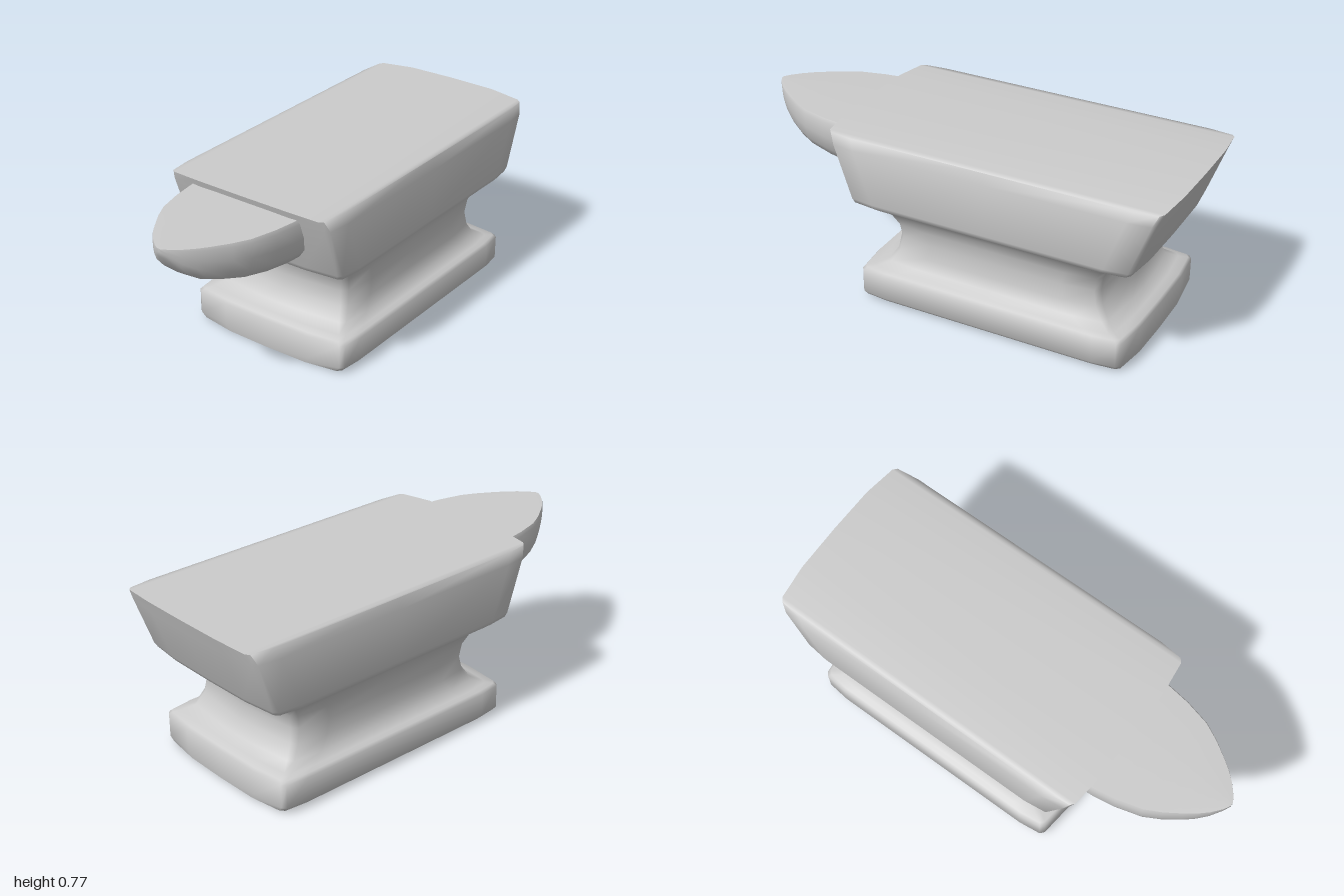
import * as THREE from 'three';
import { toCreasedNormals } from 'three/addons/utils/BufferGeometryUtils.js';

const material = new THREE.MeshStandardMaterial({ color: 0xcccccc });

// Triangles joining consecutive closed rings of equal length
function loftIndex(ringCount, n) {
  const index = [];
  for (let r = 0; r < ringCount - 1; r++) {
    for (let i = 0; i < n; i++) {
      const a = r * n + i, b = r * n + ((i + 1) % n);
      index.push(a, a + n, b, b, a + n, b + n);
    }
  }
  return index;
}

function makeMesh(name, rings, index, crease) {
  const geometry = new THREE.BufferGeometry();
  geometry.setAttribute('position', new THREE.Float32BufferAttribute(rings.flat(2), 3));
  geometry.setIndex(index);
  const mesh = new THREE.Mesh(toCreasedNormals(geometry, crease), material);
  mesh.name = name;
  return mesh;
}

// Softly bevelled rectangle at height y; crown bends it in y towards the long sides
function bodyRing([y, x0, x1, hz, s = 1, crown = 0]) {
  const cx = (x0 + x1) / 2, hx = (x1 - x0) / 2;
  const q = [
    [hx, 0], [hx - 0.003 * s, hz - 0.18 * s], [hx - 0.02 * s, hz - 0.03 * s],
    [hx - 0.035 * s, hz - 0.012 * s], [hx - 0.135 * s, hz], [0, hz],
  ];
  const put = (i, sx, sz) =>
    [cx + sx * q[i][0], y + crown * (q[i][1] / hz) ** 4, sz * q[i][1]];
  return [
    ...[0, 1, 2, 3, 4, 5].map((i) => put(i, 1, 1)),
    ...[4, 3, 2, 1, 0].map((i) => put(i, -1, 1)),
    ...[1, 2, 3, 4, 5].map((i) => put(i, -1, -1)),
    ...[4, 3, 2, 1].map((i) => put(i, 1, -1)),
  ];
}

// Lengthwise strips closing a body ring, facing down or up
function capIndex(base, up) {
  const index = [];
  const quad = (a, b, c, d, flip) =>
    flip ? index.push(base + a, base + c, base + b, base + a, base + d, base + c)
      : index.push(base + a, base + b, base + c, base + a, base + c, base + d);
  for (let i = 0; i < 5; i++) {
    quad(i, i + 1, 9 - i, 10 - i, up);
    quad((20 - i) % 20, 19 - i, 11 + i, 10 + i, !up);
  }
  return index;
}

// Foot, waist and face block in one continuous skin
function createBody() {
  // height, left end, right end, half depth, corner scale, crown
  const sections = [
    [0.003, -0.385, 0.85, 0.382, 1, 0.010],
    [0.033, -0.39, 0.855, 0.40],
    [0.138, -0.39, 0.855, 0.40],
    [0.150, -0.38, 0.845, 0.388],
    [0.157, -0.345, 0.81, 0.368, 1.1],
    [0.180, -0.30, 0.77, 0.337, 1.25],
    [0.235, -0.268, 0.738, 0.321, 1.35],
    [0.300, -0.257, 0.727, 0.315, 1.4],
    [0.360, -0.265, 0.735, 0.321, 1.35],
    [0.405, -0.288, 0.757, 0.337, 1.25],
    [0.437, -0.335, 0.80, 0.362, 1.1],
    [0.452, -0.395, 0.86, 0.388],
    [0.466, -0.415, 0.882, 0.406],
    [0.485, -0.424, 0.893, 0.412],
    [0.715, -0.505, 0.978, 0.412],
    [0.773, -0.526, 1.0, 0.396, 1, -0.013],
  ];
  const rings = sections.map(bodyRing);
  const index = [
    ...loftIndex(rings.length, 20),
    ...capIndex(0, false),
    ...capIndex((rings.length - 1) * 20, true),
  ];
  return makeMesh('anvilBody', rings, index, 1.25);
}

// Flat-topped horn with a rounded keel
function createHorn() {
  const top = 0.745;
  // x, half width, underside height
  const sections = [
    [-1.0, 0.008, 0.73], [-0.985, 0.035, 0.70], [-0.95, 0.078, 0.645],
    [-0.91, 0.115, 0.606], [-0.87, 0.145, 0.577], [-0.80, 0.192, 0.551],
    [-0.73, 0.229, 0.534], [-0.62, 0.258, 0.516], [-0.52, 0.273, 0.507],
    [-0.36, 0.285, 0.50],
  ];
  // half outline: share of width, share of depth
  const half = [
    [0, 0], [0.5, 0.005], [0.97, 0.02], [1, 0.09], [0.99, 0.4],
    [0.93, 0.67], [0.8, 0.86], [0.55, 0.96], [0, 1],
  ];
  const outline = [
    ...half.map(([z, d]) => [-z, d]),
    ...half.slice(1, -1).reverse(),
  ];
  const n = outline.length;
  const rings = sections.map(([x, w, low]) =>
    outline.map(([z, d]) => [x, top - d * (top - low), z * w]));
  const index = loftIndex(rings.length, n);
  for (let i = 1; i < n - 1; i++) index.push(0, i, i + 1);
  return makeMesh('horn', rings, index, 0.9);
}

export function createModel() {
  const group = new THREE.Group();
  group.name = 'anvil';
  group.add(createBody(), createHorn());
  return group;
}
